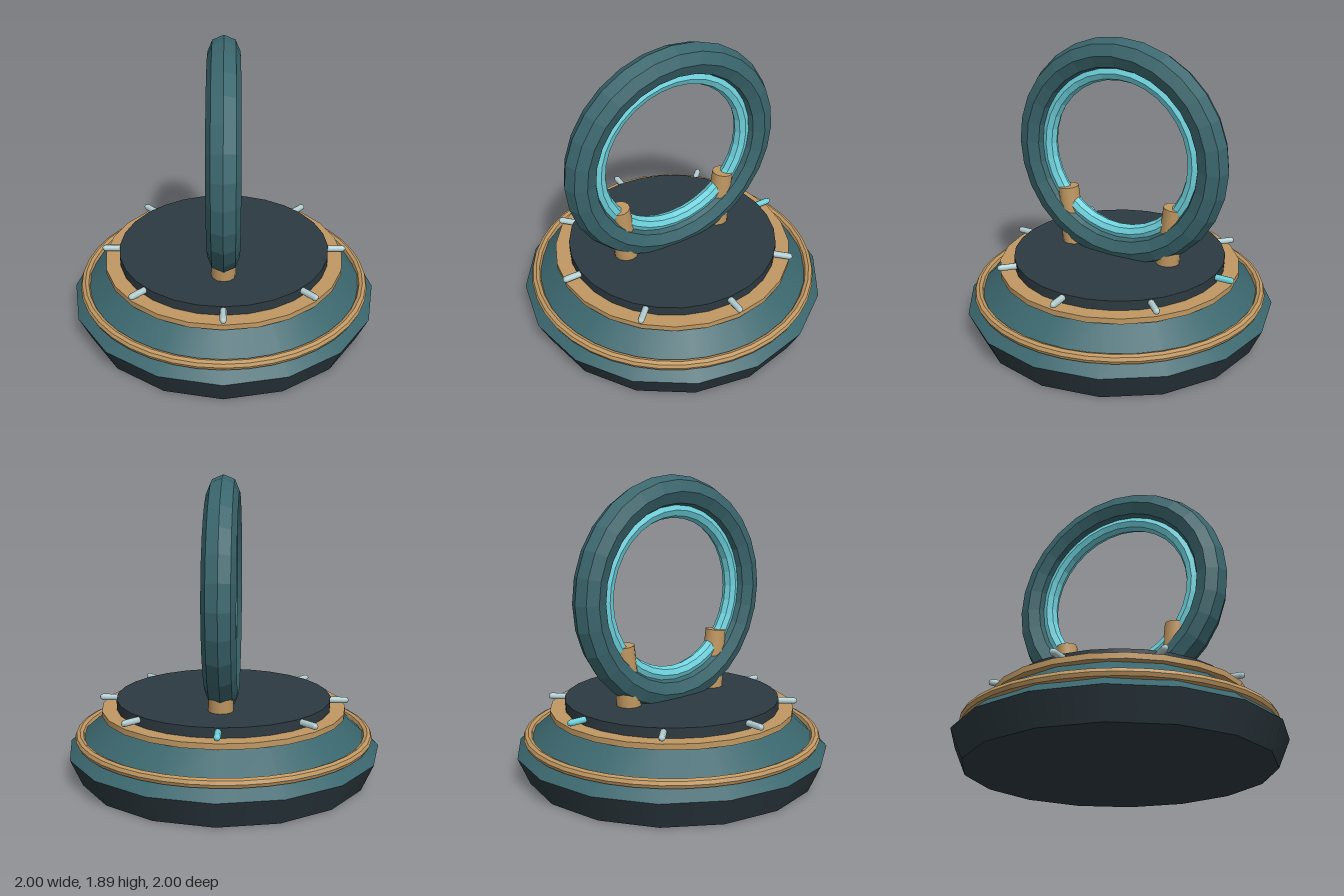
import * as THREE from 'three';

const mat = (name, color) => {
  const m = new THREE.MeshStandardMaterial({ color });
  m.name = name;
  return m;
};

// Gives every facet its own normal
const facet = (geo) => {
  const g = geo.toNonIndexed();
  g.computeVertexNormals();
  return g;
};

export function createModel() {
  const teal = mat('teal enamel', 0x3a666d);
  const dark = mat('dark slate', 0x2d3a41);
  const gold = mat('brass', 0xc09862);
  const cyan = mat('glowing cyan', 0x6fd3de);
  const silver = mat('pale silver', 0xb4cfd3);

  const model = new THREE.Group();
  model.name = 'ringPedestal';
  const add = (name, geo, material, parent = model) => {
    const mesh = new THREE.Mesh(geo, material);
    mesh.name = name;
    parent.add(mesh);
    return mesh;
  };

  // Stacked pedestal tiers: name, top radius, bottom radius, y from, y to, sides
  const tiers = [
    ['foot', 1.0, 0.925, 0, 0.17, 16, dark],
    ['slopedBody', 0.74, 1.0, 0.17, 0.395, 16, teal],
    ['brassPlate', 0.78, 0.78, 0.395, 0.43, 24, gold],
    ['topDisc', 0.685, 0.685, 0.425, 0.492, 28, dark],
  ];
  for (const [name, rTop, rBottom, y0, y1, sides, material] of tiers) {
    const tier = add(name, new THREE.CylinderGeometry(rTop, rBottom, y1 - y0, sides), material);
    tier.position.y = (y0 + y1) / 2;
  }

  // Brass band around the sloped body
  const band = add('brassBand', facet(new THREE.TorusGeometry(0.92, 0.03, 8, 40)), gold);
  band.rotation.x = Math.PI / 2;
  band.position.y = 0.255;

  // Eight pegs around the disc, the rear one is lit
  const pegs = new THREE.Group();
  pegs.name = 'pegs';
  model.add(pegs);
  const pegGeo = new THREE.CapsuleGeometry(0.021, 0.13, 2, 8).rotateX(Math.PI / 2);
  for (let i = 0; i < 8; i++) {
    const a = (i * Math.PI) / 4;
    const peg = add(i === 4 ? 'litPeg' : 'peg', pegGeo, i === 4 ? cyan : silver, pegs);
    peg.position.set(0.717 * Math.sin(a), 0.467, 0.717 * Math.cos(a));
    peg.rotation.y = a;
  }

  // Upright ring with a bright inner lining
  const portal = new THREE.Group();
  portal.name = 'uprightRing';
  portal.position.y = 1.155;
  portal.rotation.y = Math.PI / 2;
  model.add(portal);
  add('outerRing', facet(new THREE.TorusGeometry(0.635, 0.1, 8, 28)), teal, portal);
  add('innerLining', facet(new THREE.TorusGeometry(0.52, 0.05, 8, 32)), cyan, portal);

  // Two leaning brass clamps holding the ring
  for (const s of [1, -1]) {
    const clamp = add('clamp', new THREE.CylinderGeometry(0.068, 0.078, 0.42, 12), gold);
    clamp.position.set(0, 0.663, s * 0.366);
    clamp.rotation.x = s * 0.1;
  }

  return model;
}
